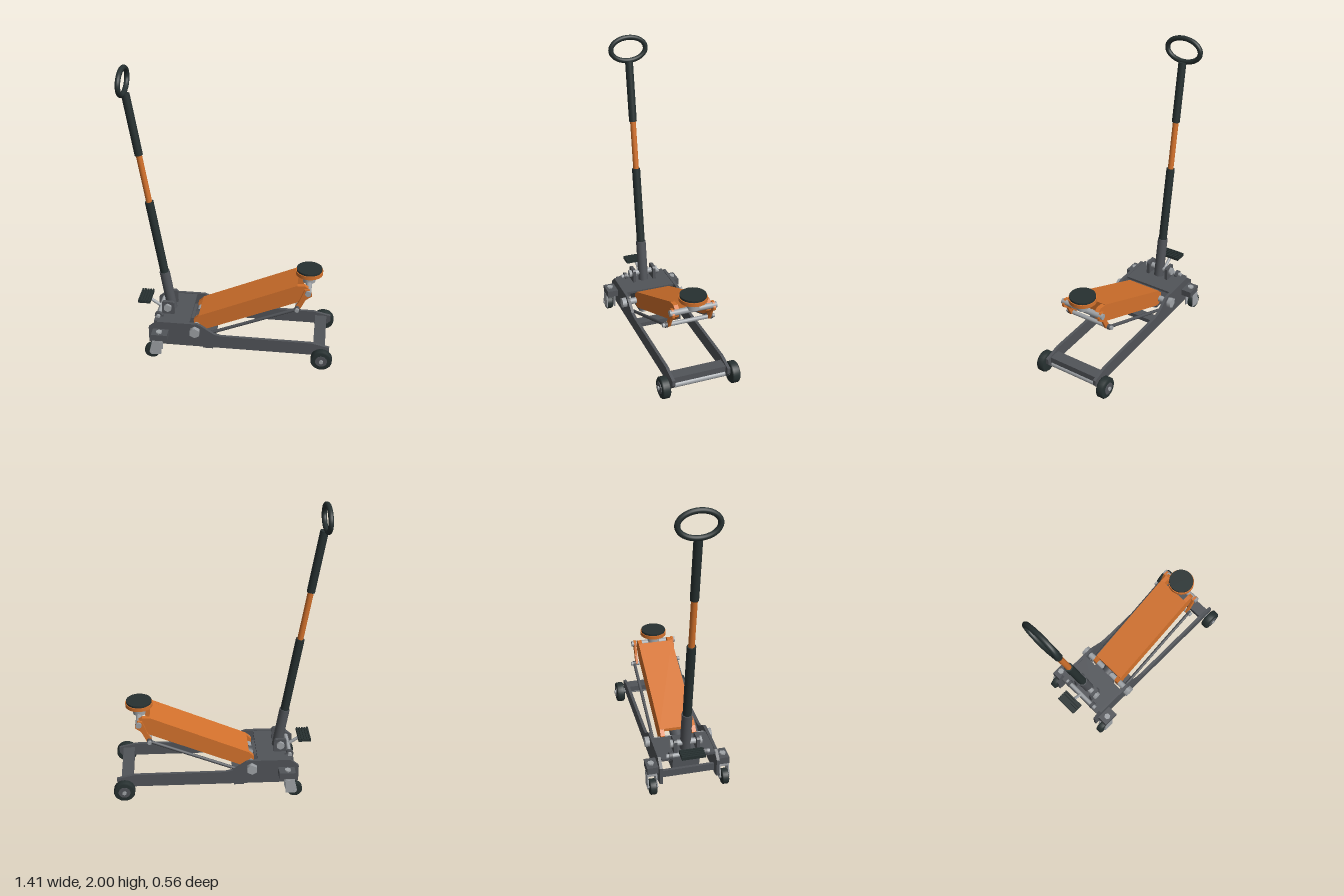
import * as THREE from 'three';

const mat = (name, color, side = THREE.FrontSide) => {
  const m = new THREE.MeshStandardMaterial({ color, side });
  m.name = name;
  return m;
};

export function createModel() {
  const orange = mat('orange paint', 0xd4722c);
  const frame = mat('dark grey steel', 0x515459);
  const rubber = mat('black rubber', 0x273131);
  const steel = mat('bright steel', 0xa0a4a8);
  const jack = new THREE.Group();
  jack.name = 'floorJack';

  const add = (name, geo, m, x = 0, y = 0, z = 0) => {
    const mesh = new THREE.Mesh(geo, m);
    mesh.name = name;
    mesh.position.set(x, y, z);
    jack.add(mesh);
    return mesh;
  };
  // Box given by its limits
  const box = (name, m, x0, x1, y0, y1, z0, z1) =>
    add(name, new THREE.BoxGeometry(x1 - x0, y1 - y0, z1 - z0), m,
      (x0 + x1) / 2, (y0 + y1) / 2, (z0 + z1) / 2);
  // Cylinder between two points
  const rod = (name, m, a, b, r, sides = 20, r2 = r) => {
    const p = new THREE.Vector3(...a), q = new THREE.Vector3(...b);
    const d = q.clone().sub(p);
    const mesh = add(name, new THREE.CylinderGeometry(r2, r, d.length(), sides), m);
    mesh.position.copy(p).add(q).multiplyScalar(0.5);
    mesh.quaternion.setFromUnitVectors(new THREE.Vector3(0, 1, 0), d.normalize());
    return mesh;
  };
  const zRod = (name, m, x, y, z0, z1, r, sides = 20) => rod(name, m, [x, y, z0], [x, y, z1], r, sides);
  // Flat plate cut to a side profile, from z0 to z1
  const plate = (name, m, pts, z0, z1) => {
    const shape = new THREE.Shape(pts.map(p => new THREE.Vector2(...p)));
    return add(name, new THREE.ExtrudeGeometry(shape, { depth: z1 - z0, bevelEnabled: false }), m, 0, 0, z0);
  };
  // Calls fn with a mirrored z range for both sides
  const both = (z0, z1, fn) => { fn(z0, z1, 1); fn(-z1, -z0, -1); };

  // Wheel with rounded shoulders, axis along z
  const wheel = (name, x, y, z, r, w) => {
    const h = w / 2, c = r * 0.12;
    const prof = [[0, -h], [r - c, -h], [r, -h + c], [r, h - c], [r - c, h], [0, h]];
    const geo = new THREE.LatheGeometry(prof.map(p => new THREE.Vector2(...p)), 32);
    add(name, geo, rubber, x, y, z).rotation.x = Math.PI / 2;
  };

  // Chassis
  const sideProfile = [[-0.56, 0.085], [-0.52, 0.075], [0.66, 0.075], [0.68, 0.1], [0.68, 0.14],
    [0.56, 0.168], [-0.06, 0.17], [-0.11, 0.182], [-0.2, 0.245], [-0.225, 0.255], [-0.5, 0.255], [-0.56, 0.205]];
  both(0.18, 0.2, (a, b) => plate('sidePlate', frame, sideProfile, a, b));
  box('rearDeck', frame, -0.525, -0.28, 0.235, 0.25, -0.18, 0.18);
  box('rearWall', frame, -0.5, -0.48, 0.09, 0.14, -0.18, 0.18);
  box('frontCrossBar', frame, 0.57, 0.65, 0.1, 0.14, -0.18, 0.18);
  box('lowerCrossBar', frame, -0.19, -0.12, 0.047, 0.078, -0.175, 0.175);
  box('pumpBlock', frame, -0.46, -0.26, 0.09, 0.23, -0.09, 0.09);
  for (const z of [-0.05, 0.05]) rod('drainPlug', steel, [-0.305, 0.06, z], [-0.305, 0.092, z], 0.024, 6);

  // Front axle and wheels
  zRod('frontAxle', steel, 0.63, 0.075, -0.22, 0.22, 0.02);
  both(0.212, 0.267, (a, b, s) => {
    wheel('frontWheel', 0.63, 0.072, (a + b) / 2, 0.072, b - a);
    zRod('wheelHub', frame, 0.63, 0.075, s * 0.25, s * 0.271, 0.04, 28);
    zRod('wheelBolt', steel, 0.63, 0.075, s * 0.26, s * 0.28, 0.015, 6);
  });

  // Rear swivel casters
  const fork = [[-0.545, 0.055], [-0.53, 0.035], [-0.465, 0.04], [-0.46, 0.14], [-0.525, 0.14]];
  both(0.2, 0.275, (a, b, s) => {
    box('casterMount', frame, -0.53, -0.42, 0.15, 0.197, a, b);
    box('casterForkTop', steel, -0.525, -0.46, 0.128, 0.15, s * 0.242 - 0.032, s * 0.242 + 0.032);
    rod('casterSwivel', steel, [-0.48, 0.13, s * 0.242], [-0.48, 0.207, s * 0.242], 0.022, 6);
    wheel('casterWheel', -0.53, 0.052, s * 0.242, 0.052, 0.044);
    for (const d of [-0.029, 0.029])
      plate('casterFork', steel, fork, s * 0.242 + d - 0.004, s * 0.242 + d + 0.004);
    zRod('casterPin', steel, -0.53, 0.052, s * 0.242 - 0.036, s * 0.242 + 0.036, 0.01, 12);
  });

  // Main pivot
  zRod('mainPivot', steel, -0.238, 0.2, -0.21, 0.21, 0.022);
  both(0.2, 0.23, (a, b) => zRod('pivotNut', steel, -0.238, 0.2, a, b, 0.038, 6));

  // Lift arm: two cheeks, a top plate and inner stiffeners
  const cheek = [[-0.225, 0.272], [-0.258, 0.24], [-0.258, 0.17], [-0.21, 0.155], [-0.13, 0.19],
    [0.47, 0.45], [0.52, 0.5], [0.52, 0.555], [0.495, 0.572], [0.435, 0.567]];
  both(0.094, 0.123, (a, b) => plate('armCheek', orange, cheek, a, b));
  plate('armTopPlate', orange, [[-0.225, 0.254], [0.445, 0.551], [0.445, 0.571], [-0.225, 0.274]], -0.123, 0.123);
  for (const [x, y] of [[0.38, 0.46], [0.16, 0.35]])
    plate('armStiffener', orange, [[x, y], [x + 0.03, y], [x + 0.03, y + 0.075], [x, y + 0.075]], -0.095, 0.095);

  // Hydraulic ram
  rod('ramBody', frame, [-0.4, 0.13, 0], [-0.1, 0.245, 0], 0.045, 24);
  rod('ramPiston', steel, [-0.12, 0.237, 0], [0.06, 0.315, 0], 0.028);
  zRod('ramPin', steel, 0.06, 0.318, -0.095, 0.095, 0.02);

  // Levelling rods and saddle bracket
  both(0.147, 0.165, (a, b) => {
    const z = (a + b) / 2;
    rod('levellingRod', frame, [-0.27, 0.11, z], [0.45, 0.41, z], 0.011, 12);
    zRod('rodEye', frame, 0.45, 0.41, a, b, 0.018, 16);
    zRod('rodRearPin', steel, -0.265, 0.113, z - 0.012, z + 0.025, 0.016, 12);
  });
  zRod('lowerSaddlePin', steel, 0.45, 0.41, -0.18, 0.18, 0.014, 16);
  const link = [[0.435, 0.415], [0.445, 0.395], [0.47, 0.405], [0.505, 0.48],
    [0.545, 0.51], [0.545, 0.53], [0.525, 0.56], [0.495, 0.555], [0.465, 0.47]];
  both(0.131, 0.147, (a, b) => plate('saddleLink', orange, link, a, b));
  zRod('upperSaddlePin', steel, 0.52, 0.535, -0.16, 0.16, 0.02);
  rod('saddlePost', steel, [0.518, 0.54, 0], [0.518, 0.61, 0], 0.042, 28);
  rod('saddleCup', orange, [0.518, 0.602, 0], [0.518, 0.627, 0], 0.092, 40);
  rod('saddlePad', rubber, [0.518, 0.62, 0], [0.518, 0.641, 0], 0.086, 40);

  // Handle yoke
  const ear = [[-0.485, 0.24], [-0.4, 0.24], [-0.4, 0.335], [-0.41, 0.346], [-0.475, 0.346], [-0.485, 0.335]];
  both(0.065, 0.087, (a, b, s) => {
    plate('yokeEar', frame, ear, a, b);
    zRod('yokeNut', steel, -0.443, 0.305, s * 0.08, s * 0.106, 0.029, 6);
  });
  zRod('yokePin', steel, -0.443, 0.305, -0.09, 0.09, 0.02);

  // Handle, leaning backwards
  const at = y => [-0.437 - 0.157 * (y - 0.3), y, 0];
  const segment = (name, m, y0, y1, r) => rod(name, m, at(y0), at(y1), r, 24);
  segment('handleSocket', frame, 0.25, 0.54, 0.035);
  segment('lowerGrip', rubber, 0.53, 1.075, 0.029);
  segment('handleTube', orange, 1.06, 1.42, 0.02);
  segment('upperGrip', rubber, 1.41, 1.822, 0.027);

  // Oval ring at the top of the handle
  class Oval extends THREE.Curve {
    getPoint(t, target = new THREE.Vector3()) {
      const a = t * Math.PI * 2;
      return target.set(-0.69, 1.903 + 0.08 * Math.sin(a), 0.124 * Math.cos(a));
    }
  }
  add('handleRing', new THREE.TubeGeometry(new Oval(), 64, 0.017, 14, true), rubber);

  // Foot pedal
  zRod('pedalShaft', steel, -0.505, 0.255, -0.145, 0.145, 0.014, 16);
  both(0.105, 0.125, (a, b) => {
    zRod('pedalBearing', frame, -0.505, 0.255, a, b, 0.026);
    box('pedalBearingFoot', frame, -0.52, -0.47, 0.245, 0.262, a, b);
  });
  rod('pedalArm', steel, [-0.505, 0.255, 0], [-0.605, 0.322, 0], 0.011, 12);
  box('pedalPad', rubber, -0.655, -0.57, 0.317, 0.329, -0.077, 0.077);
  for (let i = 0; i < 5; i++) {
    const x = -0.655 + i * 0.0183;
    box('pedalRib', rubber, x, x + 0.011, 0.328, 0.339, -0.077, 0.077);
  }

  return jack;
}
